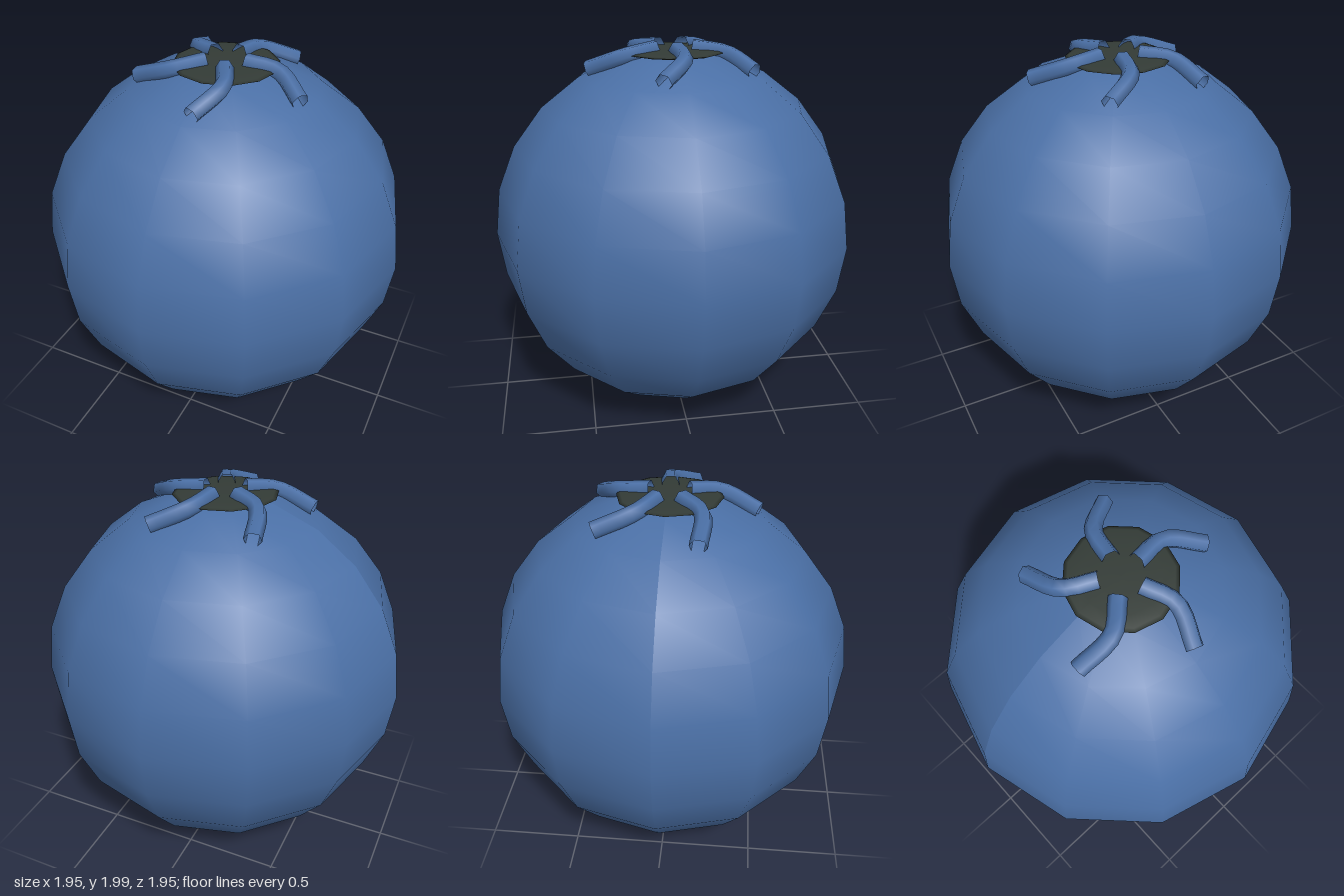
import * as THREE from 'three';

export function createModel() {
  const model = new THREE.Group();
  const blue = new THREE.MeshStandardMaterial({ color: 0x4a6fa5 });
  const blueOpen = new THREE.MeshStandardMaterial({ color: 0x4a6fa5, side: THREE.DoubleSide });
  const dark = new THREE.MeshStandardMaterial({ color: 0x333b36 });

  const add = (name, geometry, material, parent = model) => {
    const mesh = new THREE.Mesh(geometry, material);
    mesh.name = name;
    parent.add(mesh);
    return mesh;
  };

  // Round body; normals taken from the facets leave a faint seam on the -x side
  const bodyGeo = new THREE.SphereGeometry(0.974, 12, 12);
  bodyGeo.computeVertexNormals();
  add('body', bodyGeo, blue).position.y = 0.976;

  // Thin lens-shaped cap on top
  const cap = add('crownDisc', new THREE.SphereGeometry(0.268, 12, 8), dark);
  cap.scale.y = 0.06;
  cap.position.y = 1.938;

  // Five bent, open-ended tubes swirling around the cap
  const path = new THREE.CatmullRomCurve3([
    new THREE.Vector3(0.1, 1.957, -0.005),
    new THREE.Vector3(0.27, 1.933, -0.015),
    new THREE.Vector3(0.43, 1.862, 0.108),
  ]);
  const tubeGeo = new THREE.TubeGeometry(path, 8, 0.044, 6, false);
  const crown = new THREE.Group();
  crown.name = 'crown';
  model.add(crown);
  for (let i = 0; i < 5; i++) {
    add('crownTube' + (i + 1), tubeGeo, blueOpen, crown).rotation.y = -i * Math.PI * 2 / 5;
  }

  return model;
}
